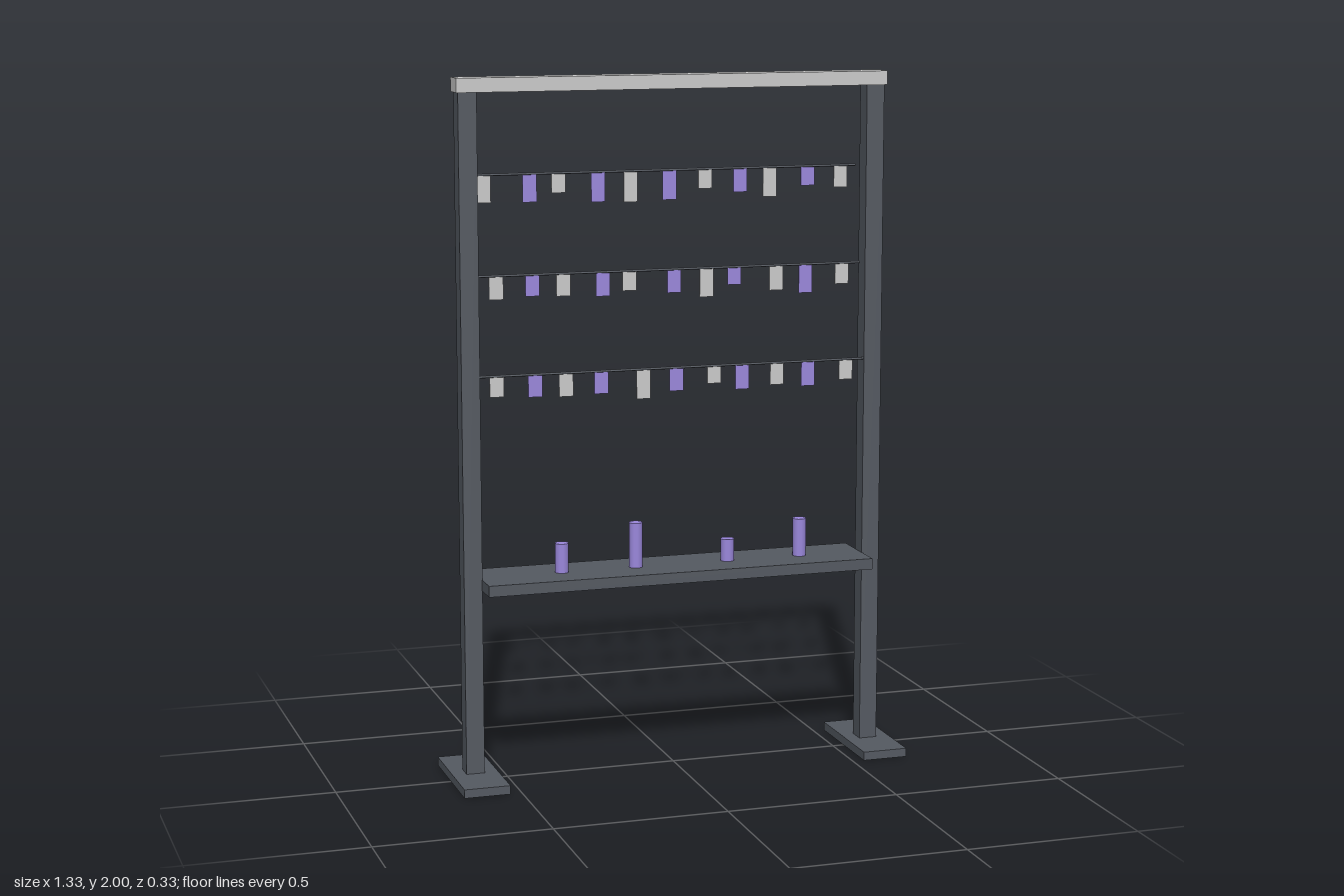
import * as THREE from 'three';

const dark = new THREE.MeshStandardMaterial({ color: 0x555a62 });
const grey = new THREE.MeshStandardMaterial({ color: 0xcccccc });
const purple = new THREE.MeshStandardMaterial({ color: 0x9b88dd });

// Each tag is [x, length]; grey and purple alternate along a wire.
const rows = [
  { y: 1.725, z: -0.065, tags: [[-0.535, 0.075], [-0.402, 0.077], [-0.318, 0.053], [-0.202, 0.082],
    [-0.106, 0.085], [0.009, 0.082], [0.116, 0.053], [0.222, 0.066], [0.312, 0.082], [0.428, 0.053], [0.529, 0.061]] },
  { y: 1.446, z: -0.02, tags: [[-0.513, 0.064], [-0.408, 0.058], [-0.318, 0.061], [-0.202, 0.066],
    [-0.124, 0.053], [0.009, 0.064], [0.106, 0.08], [0.19, 0.048], [0.317, 0.069], [0.407, 0.08], [0.519, 0.058]] },
  { y: 1.169, z: 0.02, tags: [[-0.524, 0.056], [-0.413, 0.061], [-0.323, 0.064], [-0.22, 0.061],
    [-0.095, 0.082], [0.003, 0.064], [0.116, 0.048], [0.201, 0.069], [0.307, 0.061], [0.402, 0.069], [0.519, 0.056]] },
];

// Shelf cylinders: [x, height]
const pegs = [[-0.334, 0.085], [-0.113, 0.131], [0.165, 0.065], [0.387, 0.111]];

export function createModel() {
  const model = new THREE.Group();
  model.name = 'displayFrame';

  const add = (name, geometry, material, x, y, z, parent = model) => {
    const mesh = new THREE.Mesh(geometry, material);
    mesh.name = name;
    mesh.position.set(x, y, z);
    parent.add(mesh);
    return mesh;
  };
  const box = (name, w, h, d, material, x, y, z, parent) =>
    add(name, new THREE.BoxGeometry(w, h, d), material, x, y, z, parent);

  // Feet and posts on both sides
  for (const [side, s] of [['left', 1], ['right', -1]]) {
    box(side + 'Foot', 0.133, 0.025, 0.333, dark, s * 0.6, 0.0125, 0);
    box(side + 'Post', 0.053, 1.935, 0.053, dark, s * 0.6, 0.9925, 0);
  }

  // Top beam and shelf
  box('topBeam', 1.265, 0.04, 0.067, grey, 0, 1.98, 0);
  box('shelf', 1.15, 0.032, 0.22, dark, 0, 0.575, 0);

  // Small cylinders standing on the shelf
  for (const [x, h] of pegs) {
    add('shelfCylinder', new THREE.CylinderGeometry(0.02, 0.02, h, 12), purple, x, 0.591 + h / 2, 0);
  }

  // Wires with hanging tags
  rows.forEach(({ y, z, tags }, i) => {
    const row = new THREE.Group();
    row.name = 'tagRow' + (i + 1);
    row.position.set(0, y, z);
    model.add(row);
    const wire = new THREE.CylinderGeometry(0.0035, 0.0035, 1.15, 8).rotateZ(Math.PI / 2);
    add('wire', wire, dark, 0, 0, 0, row);
    tags.forEach(([x, h], k) =>
      box('tag', 0.041, h, 0.003, k % 2 ? purple : grey, x, -0.003 - h / 2, 0, row));
  });

  return model;
}
